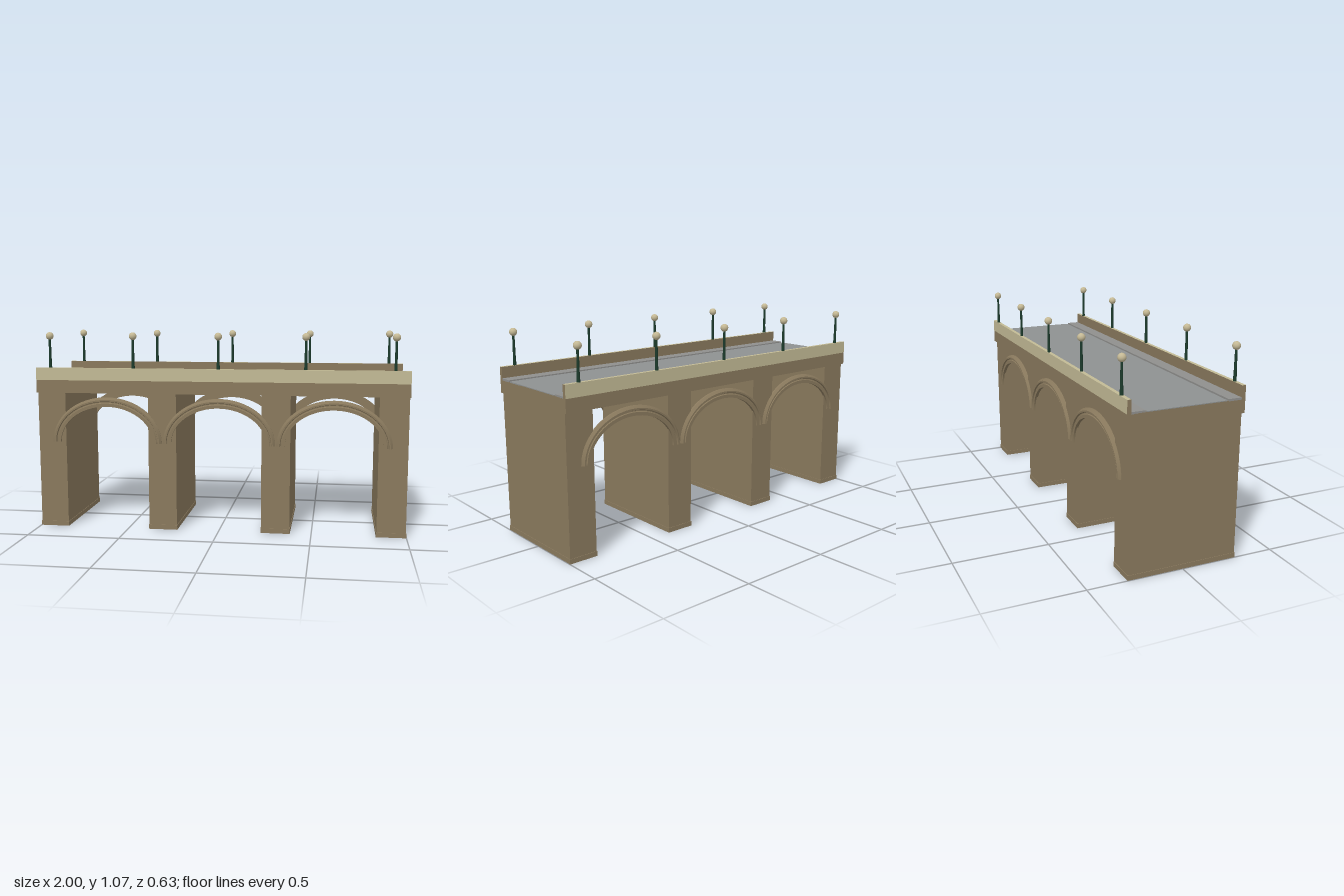
import * as THREE from 'three';
import { toCreasedNormals } from 'three/addons/utils/BufferGeometryUtils.js';

const material = (name, color) => {
  const m = new THREE.MeshStandardMaterial({ color });
  m.name = name;
  return m;
};

export function createModel() {
  const stone = material('brown stone', 0x89795d);
  const cream = material('cream stone', 0xc2ba95);
  const asphalt = material('grey road', 0x8e9191);
  const paving = material('grey paving', 0x8f8f8d);
  const iron = material('dark green iron', 0x1b3a2b);
  const globe = material('globe cream', 0xc4b894);

  const bridge = new THREE.Group();
  bridge.name = 'bridge';

  const add = (parent, name, geometry, mat, x = 0, y = 0, z = 0) => {
    const mesh = new THREE.Mesh(geometry, mat);
    mesh.name = name;
    mesh.position.set(x, y, z);
    parent.add(mesh);
    return mesh;
  };
  // Box given by its bottom and top heights
  const slab = (parent, name, mat, w, y0, y1, d, x = 0, z = 0) =>
    add(parent, name, new THREE.BoxGeometry(w, y1 - y0, d), mat, x, (y0 + y1) / 2, z);

  // Piers with low plinths
  for (const x of [-0.92, -0.307, 0.307, 0.92]) {
    slab(bridge, 'pier', stone, 0.153, 0, 0.75, 0.58, x);
    slab(bridge, 'plinth', stone, 0.158, 0, 0.025, 0.586, x);
  }

  // Deck and roadway
  slab(bridge, 'deck', stone, 2, 0.745, 0.814, 0.61);
  slab(bridge, 'road', asphalt, 2, 0.812, 0.818, 0.416);

  // Arch moulding: a stepped section bent along a half ellipse
  const section = new THREE.Shape([
    [0, 0.283], [0, 0.3], [0.35, 0.3], [0.42, 0.296], [0.52, 0.296],
    [0.58, 0.304], [0.75, 0.304], [1, 0.292], [1, 0.283],
  ].map(([t, z]) => new THREE.Vector2(t, z)).reverse());
  let archGeometry = new THREE.ExtrudeGeometry(section, { depth: 1, steps: 40, bevelEnabled: false });
  const p = archGeometry.attributes.position;
  for (let i = 0; i < p.count; i++) {
    const t = p.getX(i), z = p.getY(i), a = Math.PI * (1 - p.getZ(i));
    p.setXYZ(i, Math.cos(a) * (0.258 + 0.046 * t), 0.475 + Math.sin(a) * (0.197 + 0.05 * t), z);
  }
  archGeometry = toCreasedNormals(archGeometry, 0.4);

  // Lamp shapes
  const baseGeometry = new THREE.CylinderGeometry(0.007, 0.0095, 0.08, 10);
  const postGeometry = new THREE.CylinderGeometry(0.006, 0.008, 0.17, 10);
  const globeGeometry = new THREE.SphereGeometry(0.0205, 20, 14);

  // Each side is the same, turned half way round
  for (const turn of [0, Math.PI]) {
    const side = new THREE.Group();
    side.name = turn ? 'backSide' : 'frontSide';
    side.rotation.y = turn;
    bridge.add(side);

    slab(side, 'sidewalk', paving, 2, 0.812, 0.823, 0.071, 0, 0.2505);
    // Parapet: cream on the top and the outer face
    slab(side, 'parapet', [stone, stone, cream, stone, cream, stone], 2, 0.814, 0.881, 0.02, 0, 0.295);

    for (const x of [-0.613, 0, 0.613]) add(side, 'archMoulding', archGeometry, stone, x);

    for (const x of [-0.92, -0.46, 0, 0.46, 0.92]) {
      const lamp = new THREE.Group();
      lamp.name = 'lamp';
      lamp.position.set(x, 0, 0.295);
      side.add(lamp);
      add(lamp, 'lampBase', baseGeometry, iron, 0, 0.9, 0);
      add(lamp, 'lampPost', postGeometry, iron, 0, 0.955, 0);
      add(lamp, 'lampGlobe', globeGeometry, globe, 0, 1.052, 0);
    }
  }
  return bridge;
}
